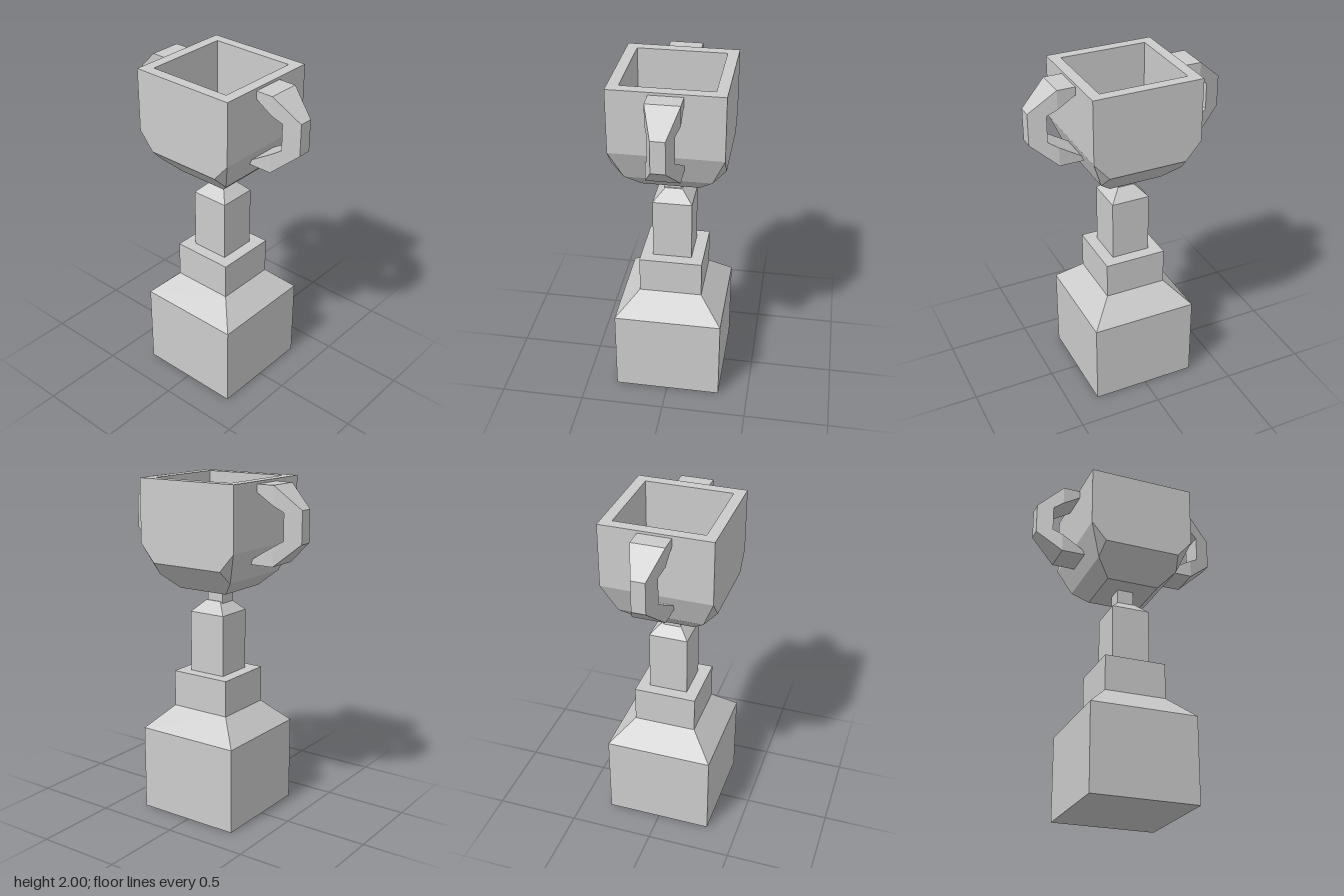
import * as THREE from 'three';

// Skin a list of rings (equal point counts, counterclockwise around the travel direction), capping both ends.
function loft(rings) {
  const pos = [];
  const V = (p) => new THREE.Vector3(...p);
  const tri = (a, b, c) => {
    const area = V(b).sub(V(a)).cross(V(c).sub(V(a))).length();
    if (area > 1e-7) pos.push(...a, ...b, ...c);
  };
  const n = rings[0].length;
  for (let r = 0; r + 1 < rings.length; r++) {
    const a = rings[r], b = rings[r + 1];
    for (let i = 0; i < n; i++) {
      const j = (i + 1) % n;
      tri(a[i], a[j], b[j]);
      tri(a[i], b[j], b[i]);
    }
  }
  const first = rings[0], last = rings[rings.length - 1];
  for (let i = 1; i + 1 < n; i++) {
    tri(first[0], first[i + 1], first[i]);
    tri(last[0], last[i], last[i + 1]);
  }
  const g = new THREE.BufferGeometry();
  g.setAttribute('position', new THREE.Float32BufferAttribute(pos, 3));
  g.computeVertexNormals();
  return g;
}

// Square ring of half width w at height y
const square = (w, y, cx = 0, cz = 0) =>
  [[1, 1], [1, -1], [-1, -1], [-1, 1]].map(([sx, sz]) => [cx + sx * w, y, cz + sz * w]);

// Eight-point ring: p is each corner's point on the x side, q its point on the z side
const cornerRing = (p, q = p) => [
  [1, 1, q], [1, 1, p], [1, -1, p], [1, -1, q],
  [-1, -1, q], [-1, -1, p], [-1, 1, p], [-1, 1, q],
].map(([sx, sz, [x, y, z]]) => [sx * x, y, sz * z]);

export function createModel() {
  const group = new THREE.Group();
  const grey = new THREE.MeshStandardMaterial({ color: 0xcccccc });
  grey.name = 'plain grey';

  const add = (name, rings) => {
    const mesh = new THREE.Mesh(loft(rings), grey);
    mesh.name = name;
    group.add(mesh);
    return mesh;
  };

  // Stepped pedestal and column
  const cx = 0.007, cz = -0.003;
  add('pedestal', [
    [0.318, 0], [0.318, 0.51], [0.185, 0.645], [0.185, 0.86],
    [0.115, 0.86], [0.115, 1.22], [0.05, 1.287],
  ].map(([w, y]) => square(w, y, cx, cz)));

  // Thin stem whose tip pokes through the cup floor
  add('stem', [
    square(0.051, 1.27, -0.003, 0.003),
    square(0.051, 1.37, -0.003, 0.003),
    square(0.041, 1.42, 0, 0),
    square(0.033, 1.45, 0.007, -0.007),
  ]);

  // Cup: up the outside, over the rim, down the inside
  add('cup', [
    cornerRing([0.16, 1.365, 0.165]),
    cornerRing([0.248, 1.45, 0.246]),
    cornerRing([0.32, 1.63, 0.32], [0.23, 1.525, 0.32]),
    cornerRing([0.32, 2, 0.32]),
    cornerRing([0.257, 2, 0.257]),
    cornerRing([0.257, 1.64, 0.257], [0.195, 1.55, 0.257]),
    cornerRing([0.194, 1.489, 0.194]),
    cornerRing([0.127, 1.425, 0.127]),
  ]);

  // Handles: [outer x, outer y, inner x, inner y], narrowing in depth away from the cup
  const depth = (x) => 0.095 - 0.055 * Math.max(0, (x - 0.425) / 0.15);
  const handle = [
    [0.30, 1.985, 0.30, 1.952],
    [0.425, 1.985, 0.425, 1.874],
    [0.575, 1.855, 0.48, 1.84],
    [0.575, 1.67, 0.48, 1.685],
    [0.425, 1.54, 0.425, 1.651],
    [0.27, 1.54, 0.27, 1.557],
  ].map(([ox, oy, ix, iy]) => [
    [ox, oy, -depth(ox)], [ox, oy, depth(ox)],
    [ix, iy, depth(ix)], [ix, iy, -depth(ix)],
  ]);
  add('leftHandle', handle).position.z = -0.003;
  const right = add('rightHandle', handle);
  right.rotation.y = Math.PI;
  right.position.z = -0.003;

  return group;
}
